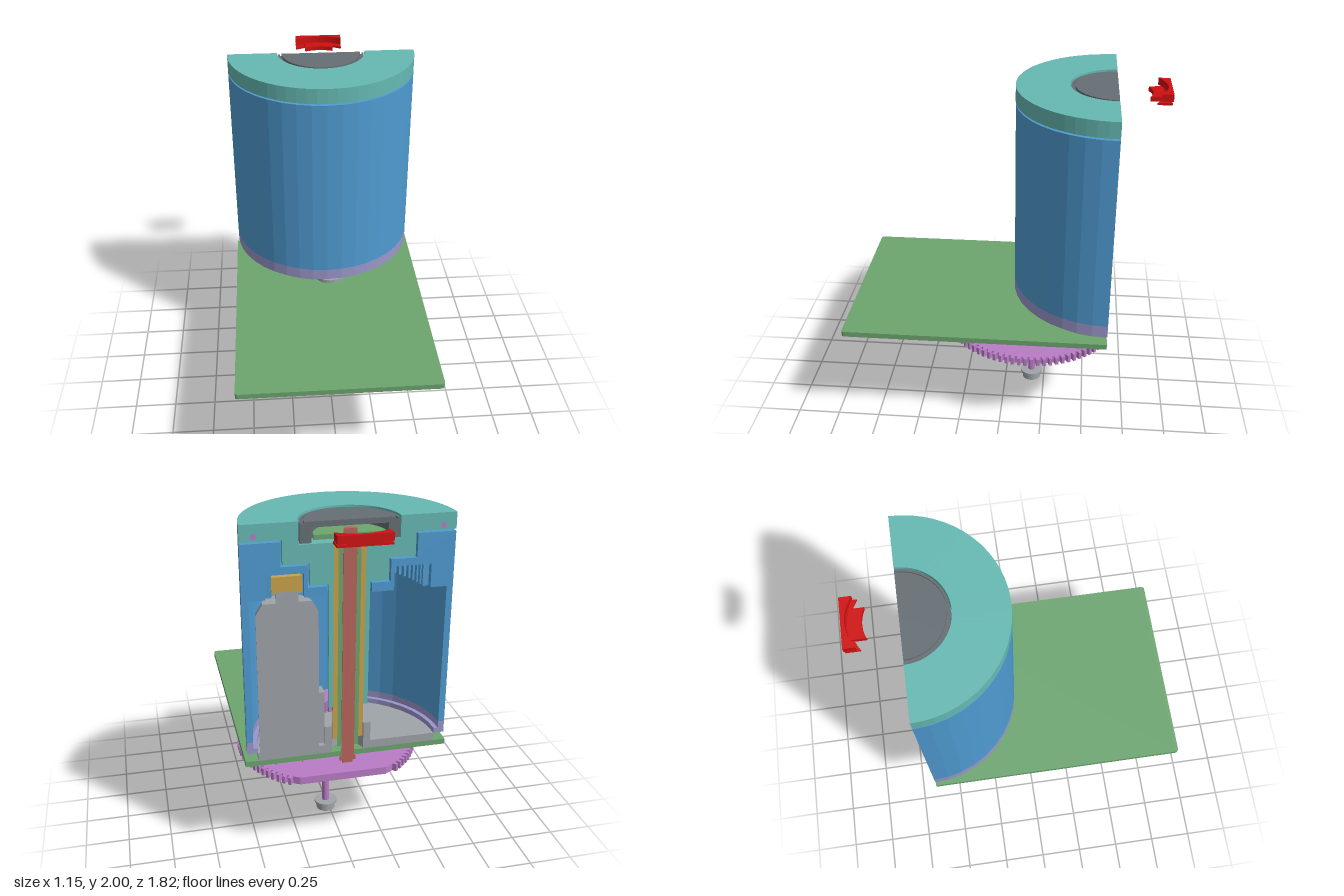
import * as THREE from 'three';
import { mergeGeometries } from 'three/addons/utils/BufferGeometryUtils.js';

const CUT = -0.62; // z of the section plane

export function createModel() {
  const model = new THREE.Group();
  const mat = (name, color) => {
    const m = new THREE.MeshStandardMaterial({ color });
    m.name = name;
    return m;
  };
  const blue = mat('blue', 0x4f9bd1), teal = mat('teal', 0x66b9b3), green = mat('green', 0x6ca56f);
  const grey = mat('grey', 0x9ea4a8), dark = mat('darkGrey', 0x666f74), purple = mat('purple', 0xba7cc6);
  const lavender = mat('lavender', 0x9a97cb), red = mat('red', 0xd01010);
  const rust = mat('rust', 0xb8655c), brass = mat('brass', 0xc9a24a);

  // Faceted mesh
  function add(name, geo, material, x = 0, y = 0, z = 0) {
    const g = geo.index ? geo.toNonIndexed() : geo;
    g.computeVertexNormals();
    const mesh = new THREE.Mesh(g, material);
    mesh.name = name;
    mesh.position.set(x, y, z);
    model.add(mesh);
    return mesh;
  }

  // Half solid of revolution with closed section faces; profile [r, y] counter-clockwise
  function halfSolid(name, profile, material, x = 0, dz = 0, segments = 20) {
    const pts = profile.map(([r, y]) => new THREE.Vector2(r, y));
    if (THREE.ShapeUtils.area(pts) < 0) pts.reverse();
    const lathe = new THREE.LatheGeometry([...pts, pts[0].clone()], segments, -Math.PI / 2, Math.PI);
    const caps = [1, -1].map((s) =>
      new THREE.ShapeGeometry(new THREE.Shape(pts.map((p) => new THREE.Vector2(s * p.x, p.y)))).rotateY(Math.PI));
    return add(name, mergeGeometries([lathe, ...caps].map((g) => g.toNonIndexed())), material, x, 0, CUT + dz);
  }
  const tube = (r0, r1, y0, y1) => [[r0, y0], [r1, y0], [r1, y1], [r0, y1]];

  // Flat outline (x, -z) extruded upwards
  function slab(name, shape, y0, y1, material, x = 0, z = 0) {
    const g = new THREE.ExtrudeGeometry(shape, { depth: y1 - y0, bevelEnabled: false, curveSegments: 12 });
    return add(name, g.rotateX(-Math.PI / 2), material, x, y0, z);
  }
  const cyl = (name, r, y0, y1, material, x, z, sides = 24, r2 = r) =>
    add(name, new THREE.CylinderGeometry(r, r2, y1 - y0, sides), material, x, (y0 + y1) / 2, z);

  // Gear outline, optionally cut flat at limit
  function gearShape(teeth, inner, outer, limit = Infinity) {
    const pts = [];
    for (let i = 0; i < teeth; i++) {
      [[0, inner], [0.3, inner], [0.42, outer], [0.88, outer]].forEach(([f, r]) => {
        const a = ((i + f) / teeth) * Math.PI * 2;
        if (r * Math.sin(a) <= limit) pts.push(new THREE.Vector2(r * Math.cos(a), r * Math.sin(a)));
      });
    }
    if (limit < inner) { // straight edge corners
      const c = Math.sqrt(inner * inner - limit * limit);
      const at = pts.findIndex((p, i) => i > 0 && p.x < 0 && pts[i - 1].x > 0);
      pts.splice(at, 0, new THREE.Vector2(c, limit), new THREE.Vector2(-c, limit));
    }
    return new THREE.Shape(pts);
  }

  // Outer housing with stepped ceiling
  halfSolid('housing', [
    [0.53, 0.785], [0.565, 0.785], [0.565, 1.9], [0.36, 1.9], [0.36, 1.77], [0.22, 1.77], [0.22, 1.65],
    [0.12, 1.65], [0.12, 1.6], [0.24, 1.6], [0.24, 1.73], [0.44, 1.73], [0.44, 1.6], [0.53, 1.6],
  ], blue);
  const teeth = [];
  for (let i = 1; i < 36; i++) {
    const a = (i / 36) * Math.PI - Math.PI / 2;
    teeth.push(new THREE.BoxGeometry(0.018, 0.13, 0.04).translate(0, 1.665, 0.425).rotateY(a));
  }
  add('ringGearTeeth', mergeGeometries(teeth), blue, 0, 0, CUT);
  halfSolid('housingRim', [
    [0.505, 0.715], [0.565, 0.715], [0.565, 0.785], [0.53, 0.785], [0.53, 0.745], [0.505, 0.745],
  ], lavender);

  // Turning lid with hub and sleeve
  halfSolid('lid', [
    [0.085, 0.95], [0.11, 0.95], [0.11, 1.66], [0.21, 1.66], [0.21, 1.78], [0.35, 1.78], [0.35, 1.91],
    [0.565, 1.91], [0.565, 2], [0.265, 2], [0.265, 1.88], [0.085, 1.88],
  ], teal, 0, 0, 30);
  for (const s of [-1, 1]) {
    add('sealSection', new THREE.CircleGeometry(0.016, 12).rotateY(Math.PI), purple, s * 0.495, 1.935, CUT - 0.002);
  }

  // Centre cap with groove
  halfSolid('centreCap', [
    [0.2, 1.885], [0.26, 1.885], [0.26, 1.99], [0.247, 1.99], [0.247, 1.98], [0.237, 1.98],
    [0.237, 1.995], [0, 1.995], [0, 1.965], [0.2, 1.965],
  ], dark, 0, 0, 30);

  // Nested sleeves and spindle
  halfSolid('brassSleeve', tube(0.06, 0.085, 0.75, 1.87), brass, 0, 0, 12);
  halfSolid('innerSleeve', [
    [0.037, 0.7], [0.06, 0.7], [0.06, 1.9], [0.19, 1.9], [0.19, 1.925], [0.037, 1.925],
  ], green, 0, 0, 16);
  halfSolid('spindle', [
    [0, 0.59], [0.03, 0.59], [0.03, 0.605], [0.045, 0.605], [0.045, 0.633], [0.036, 0.633], [0.036, 1.95], [0, 1.95],
  ], rust, 0, -0.003, 12);

  // Base inside the housing
  halfSolid('base', [
    [0.09, 0.665], [0.505, 0.665], [0.505, 0.715], [0.13, 0.715], [0.13, 0.83], [0.09, 0.83],
  ], grey);

  // Motor, its pinion and pins
  halfSolid('motor', [
    [0, 0.7], [0.165, 0.7], [0.165, 1.52], [0.13, 1.58], [0.06, 1.58], [0.06, 1.64], [0, 1.64],
  ], grey, 0.33, -0.004, 12);
  halfSolid('motorPinion', tube(0, 0.08, 1.63, 1.72), brass, 0.33, -0.004, 10);
  for (const x of [0.25, 0.4]) cyl('motorPin', 0.005, 0.61, 0.71, grey, x, CUT + 0.03, 6);
  add('motorBracket', new THREE.BoxGeometry(0.05, 0.32, 0.08), grey, 0.15, 0.87, CUT + 0.07);

  // Circuit board with rounded front corners
  const w = 0.575, f = 0.91, r = 0.02;
  const board = new THREE.Shape();
  board.moveTo(w, -CUT);
  board.lineTo(-w, -CUT);
  board.lineTo(-w, -f + r);
  board.quadraticCurveTo(-w, -f, -w + r, -f);
  board.lineTo(w - r, -f);
  board.quadraticCurveTo(w, -f, w, -f + r);
  board.closePath();
  slab('board', board, 0.635, 0.667, green);

  // Drive shaft with large gear, pinion, bushing and foot
  const sx = 0.02, sz = -0.17;
  cyl('driveShaft', 0.022, 0.04, 0.78, purple, sx, sz, 16);
  slab('largeGear', gearShape(90, 0.515, 0.54, 0.45), 0.48, 0.525, purple, sx, sz);
  cyl('gearHub', 0.056, 0.435, 0.48, purple, sx, sz);
  slab('pinion', gearShape(18, 0.075, 0.095), 0.725, 0.79, purple, sx, sz);
  cyl('bushingFlange', 0.096, 0.667, 0.69, grey, sx, sz);
  cyl('bushing', 0.075, 0.69, 0.72, grey, sx, sz);
  cyl('footFlange', 0.07, 0.043, 0.057, grey, sx, sz);
  cyl('foot', 0.057, 0, 0.043, grey, sx, sz);

  // Separate curved clip behind the lid
  function clipPart(name, hw, zBack, zSide, zMid, y0, y1) {
    const s = new THREE.Shape();
    s.moveTo(hw, -zBack);
    s.lineTo(-hw, -zBack);
    s.lineTo(-hw, -zSide);
    s.quadraticCurveTo(0, -(2 * zMid - zSide), hw, -zSide);
    s.closePath();
    slab(name, s, y0, y1, red);
  }
  clipPart('clipBlock', 0.14, -0.91, -0.845, -0.89, 1.96, 2);
  clipPart('clipFlange', 0.14, -0.905, -0.825, -0.87, 1.94, 1.952);
  clipPart('clipWeb', 0.085, -0.905, -0.87, -0.885, 1.952, 1.96);
  clipPart('clipTongue', 0.085, -0.87, -0.79, -0.81, 1.94, 1.965);

  return model;
}
